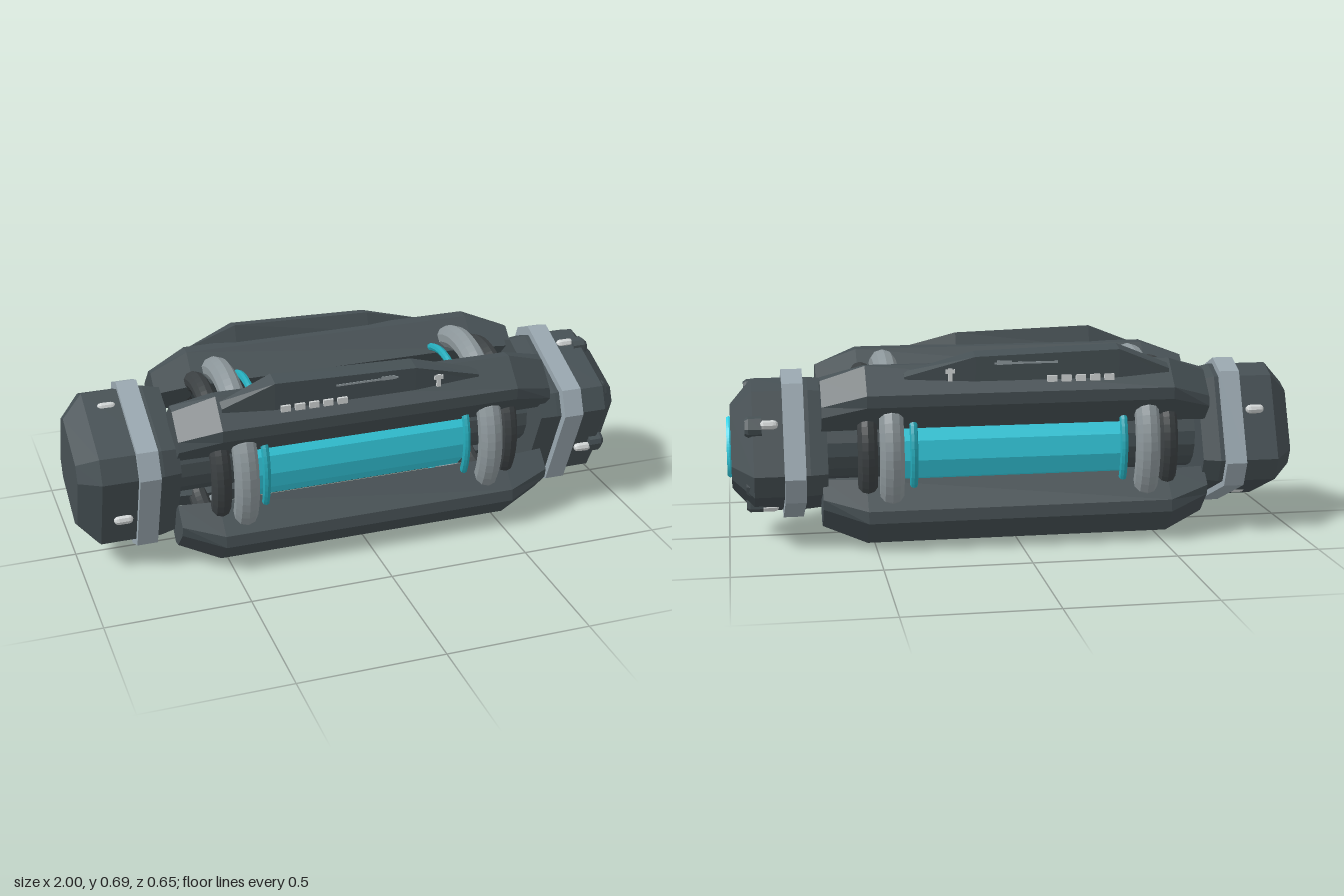
import * as THREE from 'three';

const CY = 0.33; // height of the long axis
const deg = Math.PI / 180;

function mat(name, color) {
  const m = new THREE.MeshStandardMaterial({ color, flatShading: true });
  m.name = name;
  return m;
}

// Skin a list of cross-sections { x, pts: [[h, y]...] } running along x.
// h points to -z, points go anticlockwise seen from +x.
function loft(sections) {
  const pos = [];
  const n = sections[0].pts.length;
  const v = (i, j) => {
    const [h, y] = sections[i].pts[j % n];
    return [sections[i].x, y, -h];
  };
  for (let i = 0; i < sections.length - 1; i++) {
    for (let j = 0; j < n; j++) {
      const a = v(i, j), b = v(i, j + 1), c = v(i + 1, j + 1), d = v(i + 1, j);
      pos.push(...a, ...b, ...c, ...a, ...c, ...d);
    }
  }
  const last = sections.length - 1;
  for (let j = 1; j < n - 1; j++) {
    pos.push(...v(0, 0), ...v(0, j + 1), ...v(0, j));
    pos.push(...v(last, 0), ...v(last, j), ...v(last, j + 1));
  }
  const g = new THREE.BufferGeometry();
  g.setAttribute('position', new THREE.Float32BufferAttribute(pos, 3));
  g.computeVertexNormals();
  return g;
}

// Square with clipped corners, turned by 22.5 degrees
function clippedSquare(x, r) {
  const pts = [];
  for (let k = 0; k < 4; k++) {
    for (const off of [-9.5, 9.5]) {
      const a = (67.5 + 90 * k + off) * deg;
      pts.push([r * Math.cos(a), r * Math.sin(a)]);
    }
  }
  return { x, pts };
}

// Cross-section given as [radial, sideways] points, set at an angle round the axis
function radialSection(x, angle, profile) {
  const c = Math.cos(angle), s = Math.sin(angle);
  return { x, pts: profile.map(([r, t]) => [r * c - t * s, r * s + t * c]) };
}

export function createModel() {
  const dark = mat('dark casing', 0x465054);
  const black = mat('dark rubber', 0x3b4042);
  const steel = mat('collar steel', 0x99a7af);
  const grey = mat('ring grey', 0x8c969a);
  const cyan = mat('glowing cyan', 0x36d2e6);
  const teal = mat('teal trim', 0x25abba);
  const pale = mat('pale studs', 0xd0d4d4);

  const model = new THREE.Group();
  const axis = new THREE.Group();
  axis.name = 'capsule';
  axis.position.y = CY;
  model.add(axis);

  const add = (name, geo, material, x = 0, y = 0, z = 0) => {
    const m = new THREE.Mesh(geo, material);
    m.name = name;
    m.position.set(x, y, z);
    axis.add(m);
    return m;
  };
  const cylinder = (r, len, sides) =>
    new THREE.CylinderGeometry(r, r, len, sides, 1, false, Math.PI / sides).rotateZ(Math.PI / 2);
  const torus = (r, tube, sides) => new THREE.TorusGeometry(r, tube, sides, 64).rotateY(Math.PI / 2);

  // Central tube
  add('energyTube', cylinder(0.18, 0.8, 16), cyan);

  for (const s of [-1, 1]) {
    // Necks and the rings around them
    add('neck', cylinder(0.125, 0.3, 16), dark, s * 0.54);
    add('trimHoop', torus(0.256, 0.014, 8), teal, s * 0.368);
    add('outerRing', torus(0.284, 0.043, 10), grey, s * 0.446);
    add('innerRing', torus(0.25, 0.035, 10), black, s * 0.526);

    // Steel collar
    add('collar', loft([clippedSquare(s * 0.772 - 0.036, 0.288), clippedSquare(s * 0.772 + 0.036, 0.288)]), steel);

    // Studs around each cap, sunk under the corners
    for (let k = 0; k < 6; k++) {
      const a = (30 + 60 * k) * deg;
      add('capStud', new THREE.CapsuleGeometry(0.016, 0.034, 3, 8).rotateZ(Math.PI / 2), pale,
        s * 0.857, 0.224 * Math.sin(a), -0.224 * Math.cos(a));
    }
  }

  // End caps
  add('tailCap', loft([
    clippedSquare(-1, 0.185), clippedSquare(-0.93, 0.264),
    clippedSquare(-0.72, 0.264), clippedSquare(-0.66, 0.25),
  ]), dark);
  add('noseCap', loft([
    clippedSquare(0.66, 0.25), clippedSquare(0.72, 0.257),
    clippedSquare(0.91, 0.257), clippedSquare(0.985, 0.162),
  ]), dark);

  // Nose lamp: cyan ring around a dark disc
  add('noseRing', torus(0.097, 0.011, 6), cyan, 0.99);
  add('noseDisc', cylinder(0.09, 0.01, 48), dark, 0.985);

  // Lugs on the nose bevel
  const lug = [[-0.02, -0.033], [0.012, -0.033], [0.025, -0.02], [0.025, 0.02], [0.012, 0.033], [-0.02, 0.033]];
  const lugTip = lug.map(([r, t]) => [0.208 + r * 0.75, t * 0.8]);
  const lugBase = lug.map(([r, t]) => [0.21 + r, t]);
  for (let k = 0; k < 6; k++) {
    const a = (30 + 60 * k) * deg;
    add('noseLug', loft([
      radialSection(0.88, a, lugBase), radialSection(0.925, a, lugBase), radialSection(0.937, a, lugTip),
    ]), dark);
  }

  // Four diagonal rails
  const fullRail = [[0.215, -0.09], [0.343, -0.09], [0.375, -0.063], [0.375, 0.063], [0.343, 0.09], [0.215, 0.09]];
  const endRail = [[0.205, -0.085], [0.285, -0.085], [0.305, -0.055], [0.305, 0.055], [0.285, 0.085], [0.205, 0.085]];
  for (let k = 0; k < 4; k++) {
    const a = (45 + 90 * k) * deg;
    add('rail', loft([
      radialSection(-0.67, a, endRail), radialSection(-0.53, a, fullRail),
      radialSection(0.53, a, fullRail), radialSection(0.68, a, endRail),
    ]), dark);
  }

  // Fins on the two upper rails, with their studs
  for (const s of [-1, 1]) {
    const fin = (x, pts) => {
      const p = pts.map(([z, y]) => [-s * z, y - CY]);
      return { x, pts: s > 0 ? p : p.reverse() };
    };
    add('fin', loft([
      fin(-0.52, [[0.262, 0.58], [0.225, 0.6], [0.235, 0.625], [0.265, 0.61]]),
      fin(-0.34, [[0.274, 0.57], [0.2, 0.62], [0.223, 0.697], [0.282, 0.684]]),
      fin(0.16, [[0.274, 0.57], [0.2, 0.62], [0.223, 0.682], [0.281, 0.67]]),
      fin(0.4, [[0.262, 0.58], [0.225, 0.595], [0.235, 0.62], [0.265, 0.605]]),
    ]), dark);
    for (let i = 0; i < 5; i++) {
      add('finStud', new THREE.BoxGeometry(0.034, 0.022, 0.018), pale, -0.305 + i * 0.05, 0.589 - CY, s * 0.277);
    }
    add('finLine', new THREE.BoxGeometry(0.22, 0.007, 0.006), grey, -0.015, 0.646 - CY, s * 0.279);
    add('finLineHead', new THREE.BoxGeometry(0.05, 0.014, 0.006), grey, 0.06, 0.648 - CY, s * 0.279);
    add('finPin', new THREE.BoxGeometry(0.014, 0.044, 0.014), pale, 0.245, 0.61 - CY, s * 0.274);
    add('finPinHead', new THREE.BoxGeometry(0.032, 0.014, 0.014), pale, 0.245, 0.622 - CY, s * 0.274);
  }

  return model;
}
